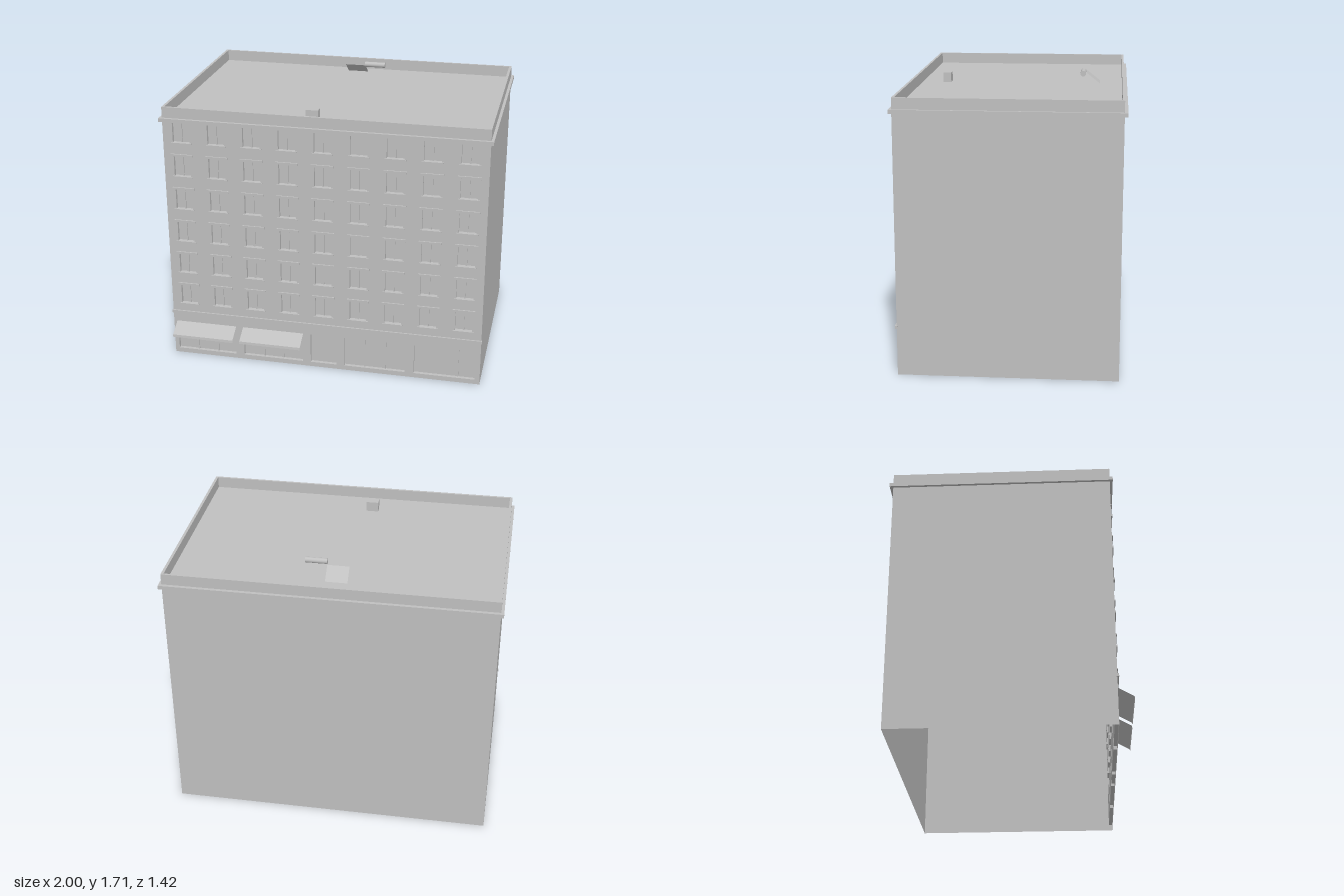
import * as THREE from 'three';

const FRONT = 0.617, BACK = -0.69, HALF = 0.983, ROOF = 1.59;

export function createModel() {
  const group = new THREE.Group();
  group.name = 'cornerBuilding';
  const stone = new THREE.MeshStandardMaterial({ color: 0xc0c0c0, side: THREE.DoubleSide });
  stone.name = 'plainGrey';

  const add = (name, geometry, x = 0, y = 0, z = 0, parent = group) => {
    const mesh = new THREE.Mesh(geometry, stone);
    mesh.name = name;
    mesh.position.set(x, y, z);
    parent.add(mesh);
    return mesh;
  };
  // Box given by its limits on each axis
  const block = (name, x0, x1, y0, y1, z0, z1, parent) =>
    add(name, new THREE.BoxGeometry(x1 - x0, y1 - y0, z1 - z0),
      (x0 + x1) / 2, (y0 + y1) / 2, (z0 + z1) / 2, parent);
  // Box with some faces left out (0 +x, 1 -x, 2 +y, 3 -y, 4 +z, 5 -z)
  const openBox = (w, h, d, skip) => {
    const geometry = new THREE.BoxGeometry(w, h, d);
    const index = Array.from(geometry.index.array);
    geometry.setIndex(index.filter((v, i) => !skip.includes(Math.floor(i / 6))));
    geometry.clearGroups();
    return geometry;
  };
  const rectangle = (Type, x0, x1, y0, y1) => new Type([
    new THREE.Vector2(x0, y0), new THREE.Vector2(x1, y0),
    new THREE.Vector2(x1, y1), new THREE.Vector2(x0, y1),
  ]);
  // Horizontal rectangular ring between two heights
  const ring = (name, outer, inner, y0, y1) => {
    const shape = rectangle(THREE.Shape, -outer[0], outer[0], -outer[2], -outer[1]);
    shape.holes.push(rectangle(THREE.Path, -inner[0], inner[0], -inner[2], -inner[1]));
    const geometry = new THREE.ExtrudeGeometry(shape, { depth: y1 - y0, bevelEnabled: false });
    add(name, geometry.rotateX(-Math.PI / 2), 0, y0, 0);
  };

  // Openings of the facade
  const openings = [];
  for (let row = 0; row < 6; row++) {
    for (let col = -4; col <= 4; col++) {
      const x = col * 0.2175, y = 0.361 + row * 0.216;
      openings.push({ kind: 'window', x0: x - 0.052, x1: x + 0.052, y0: y, y1: y + 0.129,
        bars: [x], lintel: row < 5 });
    }
  }
  const shop = (x0, x1, bars) =>
    openings.push({ kind: 'shopfront', x0, x1, y0: 0.03, y1: 0.227, bars });
  shop(-0.957, -0.575, [-0.83, -0.70]);
  shop(-0.52, -0.137, [-0.39, -0.265]);
  shop(-0.085, 0.082, []);
  shop(0.133, 0.515, [0.26, 0.39]);
  shop(0.572, 0.952, [0.845]);

  // Walls: three plain sides and a pierced front
  add('sideAndBackWalls', openBox(HALF * 2, ROOF, FRONT - BACK, [2, 3, 4]),
    0, ROOF / 2, (FRONT + BACK) / 2);
  const facade = rectangle(THREE.Shape, -HALF, HALF, 0, ROOF);
  for (const o of openings) facade.holes.push(rectangle(THREE.Path, o.x0, o.x1, o.y0, o.y1));
  add('frontWall', new THREE.ShapeGeometry(facade), 0, 0, FRONT);

  // Recessed panes with bars, sills and lintels
  const depth = 0.022;
  for (const o of openings) {
    const part = new THREE.Group();
    part.name = o.kind;
    group.add(part);
    const w = o.x1 - o.x0, x = (o.x0 + o.x1) / 2;
    add('recess', openBox(w, o.y1 - o.y0, depth, [4]),
      x, (o.y0 + o.y1) / 2, FRONT - depth / 2, part);
    const back = FRONT - depth;
    for (const bar of o.bars)
      block('mullion', bar - 0.004, bar + 0.004, o.y0, o.y1, back, back + 0.008, part);
    if (o.kind === 'window') {
      block('sill', x - 0.064, x + 0.064, o.y0 - 0.007, o.y0, FRONT - 0.002, FRONT + 0.008, part);
    }
    if (o.lintel) {
      block('lintel', x - 0.069, x + 0.069, o.y1, o.y1 + 0.014, FRONT - 0.002, FRONT + 0.009, part);
    }
  }

  // Horizontal bands, parapet and flat roof
  block('shopLedge', -0.987, 0.987, 0.287, 0.306, FRONT - 0.004, FRONT + 0.01);
  ring('cornice', [1, -0.71, 0.635], [0.98, -0.687, 0.614], 1.57, 1.593);
  ring('parapet', [HALF, BACK, FRONT], [0.967, -0.677, 0.602], ROOF, 1.66);
  add('flatRoof', new THREE.PlaneGeometry(HALF * 2, FRONT - BACK).rotateX(-Math.PI / 2),
    0, ROOF, (FRONT + BACK) / 2);

  // Sheet strip running along x through [y, z] points
  const sheet = (name, x0, x1, points) => {
    const position = [], index = [];
    for (let i = 0; i + 1 < points.length; i++) {
      const [a, b] = [points[i], points[i + 1]], n = i * 4;
      position.push(x0, ...a, x1, ...a, x1, ...b, x0, ...b);
      index.push(n, n + 3, n + 2, n, n + 2, n + 1);
    }
    const geometry = new THREE.BufferGeometry();
    geometry.setAttribute('position', new THREE.Float32BufferAttribute(position, 3));
    geometry.setIndex(index);
    geometry.computeVertexNormals();
    return add(name, geometry);
  };

  // Shop awnings with a short valance
  for (const x of [-0.962, -0.525]) {
    sheet('awning', x, x + 0.392, [[0.227, FRONT], [0.174, 0.708], [0.158, 0.71]]);
  }

  // Rooftop pieces
  block('roofVent', -0.135, -0.06, ROOF, 1.652, 0.418, 0.468);
  sheet('roofPanel', 0.045, -0.087, [[1.675, -0.455], [1.61, -0.538]]);
  add('roofRoll', new THREE.CylinderGeometry(0.017, 0.017, 0.132, 16).rotateZ(Math.PI / 2),
    0.112, 1.689, -0.436);

  return group;
}
